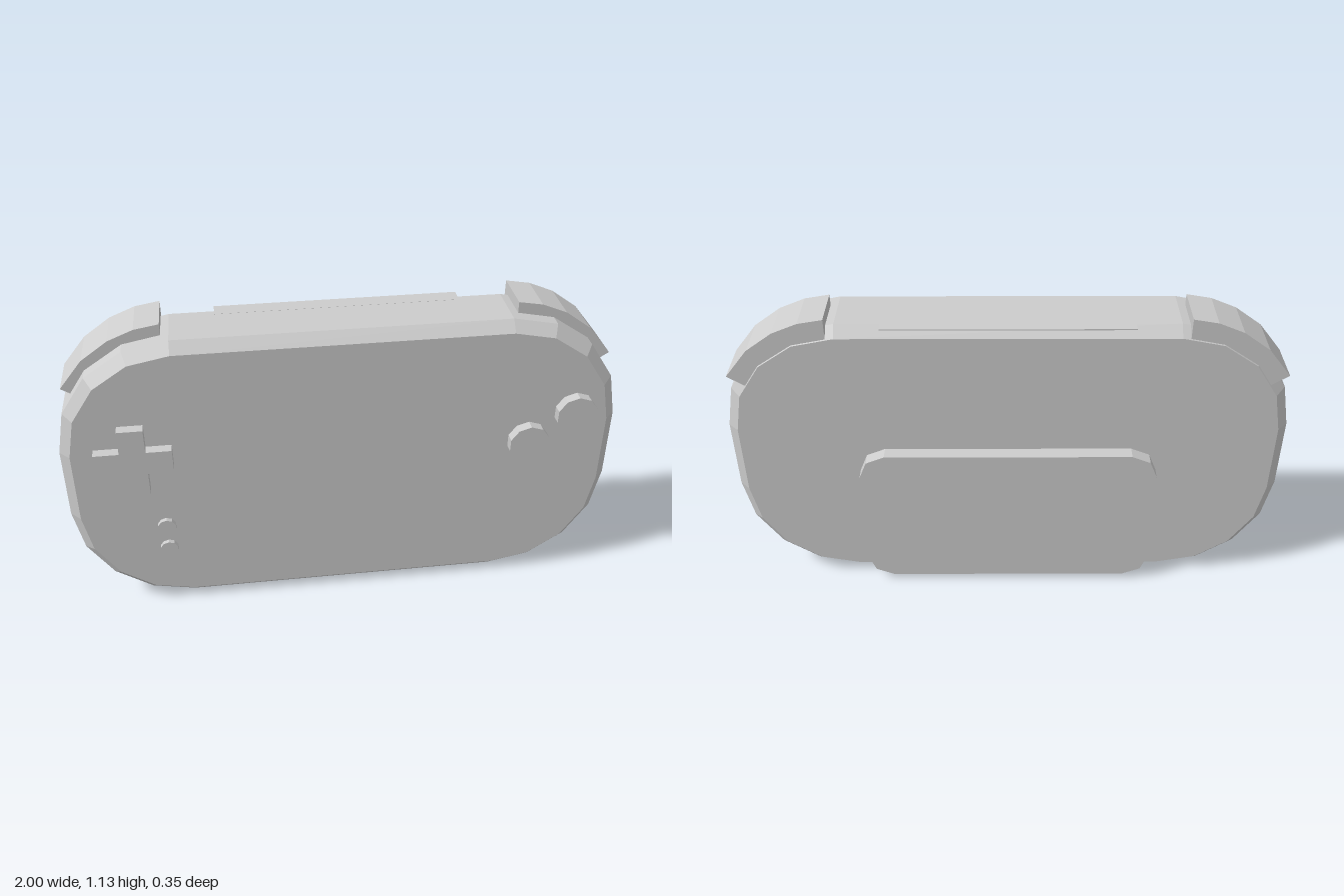
import * as THREE from 'three';

// Convex rounded rectangle outline, counter-clockwise from the front
function roundedOutline(halfW, y0, y1, r, segments) {
  const points = [];
  const centres = [[halfW - r, y1 - r], [-halfW + r, y1 - r], [-halfW + r, y0 + r], [halfW - r, y0 + r]];
  centres.forEach(([cx, cy], corner) => {
    for (let i = 0; i <= segments; i++) {
      const a = (corner + i / segments) * Math.PI / 2;
      points.push([cx + r * Math.cos(a), cy + r * Math.sin(a)]);
    }
  });
  return points;
}

// Joins outlines from back to front with flat faces and closes both ends
function loft(sections) {
  const pos = [];
  const n = sections[0].points.length;
  const at = (s, i) => [...sections[s].points[i % n], sections[s].z];
  const last = sections.length - 1;
  for (let s = 0; s < last; s++) {
    for (let i = 0; i < n; i++) {
      const a = at(s, i), b = at(s, i + 1), c = at(s + 1, i + 1), d = at(s + 1, i);
      pos.push(...a, ...b, ...c, ...a, ...c, ...d);
    }
  }
  for (let i = 1; i < n - 1; i++) {
    pos.push(...at(0, 0), ...at(0, i + 1), ...at(0, i));
    pos.push(...at(last, 0), ...at(last, i), ...at(last, i + 1));
  }
  const geometry = new THREE.BufferGeometry();
  geometry.setAttribute('position', new THREE.Float32BufferAttribute(pos, 3));
  geometry.computeVertexNormals();
  return geometry;
}

// Straight extrusion of a flat outline between two depths
function slab(points, z0, z1) {
  const shape = new THREE.Shape(points.map(([x, y]) => new THREE.Vector2(x, y)));
  const geometry = new THREE.ExtrudeGeometry(shape, { depth: z1 - z0, bevelEnabled: false });
  return geometry.translate(0, 0, z0);
}

function disc(cx, cy, r, sides) {
  return Array.from({ length: sides }, (_, i) => {
    const a = i / sides * Math.PI * 2 + Math.PI / 2;
    return [cx + r * Math.cos(a), cy + r * Math.sin(a)];
  });
}

export function createModel() {
  const group = new THREE.Group();
  const grey = new THREE.MeshStandardMaterial({ color: 0xcccccc });
  grey.name = 'plain grey';
  const add = (name, geometry) => {
    const mesh = new THREE.Mesh(geometry, grey);
    mesh.name = name;
    group.add(mesh);
    return mesh;
  };

  // Case with bevelled front and back rims
  const outline = (inset) => roundedOutline(1 - inset, inset, 1.1 - inset, 0.415 - inset, 4);
  add('body', loft([
    { z: -0.125, points: outline(0.037) },
    { z: -0.088, points: outline(0) },
    { z: 0.1, points: outline(0) },
    { z: 0.138, points: outline(0.038) },
  ]));

  // Thin lip over the upper rear bevel
  add('topLip', new THREE.BoxGeometry(0.86, 0.004, 0.06)).position.set(0, 1.0985, -0.095);

  // Raised panel on the back
  const panel = roundedOutline(0.54, 0.02, 0.6, 0.095, 2);
  add('backPanel', loft([{ z: -0.175, points: panel }, { z: -0.12, points: panel }]));

  // Curved shoulder buttons
  const shoulder = [
    [0.613, 1.135], [0.7, 1.12], [0.79, 1.083], [0.885, 1.015], [0.968, 0.912],
    [0.905, 0.872], [0.84, 0.96], [0.74, 1.027], [0.613, 1.06],
  ];
  for (const side of [1, -1]) {
    add(side > 0 ? 'leftShoulderButton' : 'rightShoulderButton',
      slab(shoulder.map(([x, y]) => [x * side, y]), -0.122, 0.05));
  }

  // Cross-shaped direction pad
  const a = 0.135, b = 0.045;
  const cross = [
    [b, -a], [b, -b], [a, -b], [a, b], [b, b], [b, a],
    [-b, a], [-b, b], [-a, b], [-a, -b], [-b, -b], [-b, -a],
  ].map(([x, y]) => [x - 0.745, y + 0.665]);
  add('directionPad', slab(cross, 0.13, 0.176));

  // Round action buttons and the two small menu buttons
  add('upperActionButton', slab(disc(0.835, 0.73, 0.075, 10), 0.13, 0.176));
  add('lowerActionButton', slab(disc(0.67, 0.62, 0.075, 10), 0.13, 0.176));
  add('upperMenuButton', slab(disc(-0.66, 0.355, 0.034, 10), 0.13, 0.155));
  add('lowerMenuButton', slab(disc(-0.66, 0.252, 0.034, 10), 0.13, 0.155));

  return group;
}
